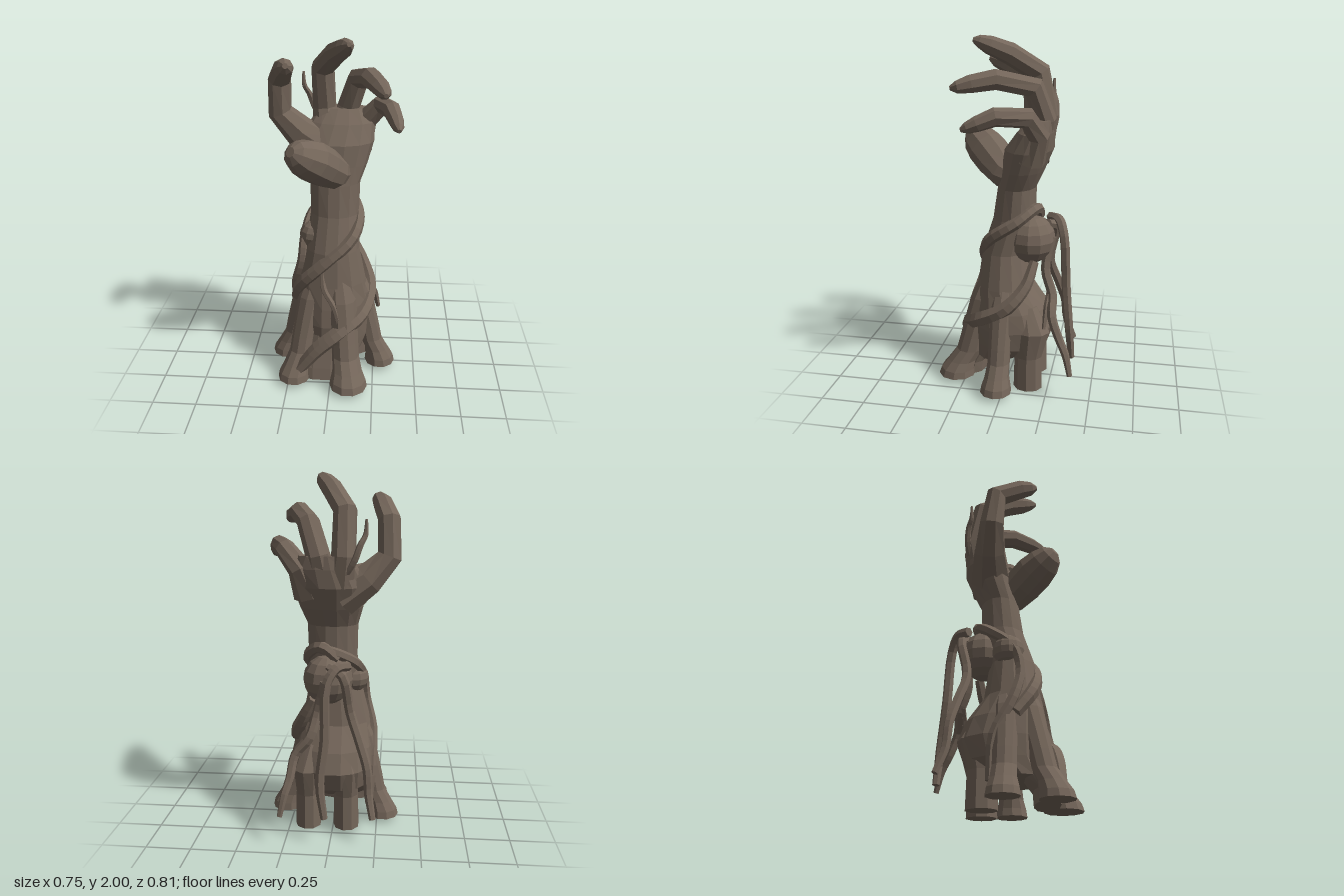
import * as THREE from 'three';

// Skin rings of points into a closed, capped surface.
function skin(rings) {
  const n = rings[0].length, pos = [], index = [];
  rings.forEach((ring) => ring.forEach((p) => pos.push(p.x, p.y, p.z)));
  for (let i = 0; i < rings.length - 1; i++) {
    for (let j = 0; j < n; j++) {
      const a = i * n + j, b = i * n + (j + 1) % n;
      index.push(a, b, a + n, b, b + n, a + n);
    }
  }
  [rings[0], rings[rings.length - 1]].forEach((ring, end) => {
    const c = ring.reduce((s, p) => s.add(p), new THREE.Vector3()).divideScalar(n);
    const ci = pos.length / 3, start = end ? (rings.length - 1) * n : 0;
    pos.push(c.x, c.y, c.z);
    for (let j = 0; j < n; j++) {
      const a = start + j, b = start + (j + 1) % n;
      index.push(ci, end ? a : b, end ? b : a);
    }
  });
  const g = new THREE.BufferGeometry();
  g.setAttribute('position', new THREE.Float32BufferAttribute(pos, 3));
  g.setIndex(index);
  g.computeVertexNormals();
  return g;
}

// Horizontal elliptical sections: [y, centre x, centre z, radius x, radius z].
function loft(sections, sides) {
  return skin(sections.map(([y, cx, cz, rx, rz]) => Array.from({ length: sides }, (_, j) => {
    const a = -j / sides * Math.PI * 2;
    return new THREE.Vector3(cx + rx * Math.cos(a), y, cz + rz * Math.sin(a));
  })));
}

// Tapered limb through points [x, y, z, radius].
function limb(points, sides, steps) {
  const curve = new THREE.CatmullRomCurve3(
    points.map((p) => new THREE.Vector3(p[0], p[1], p[2])), false, 'centripetal');
  const total = (points.length - 1) * steps, rings = [];
  let normal = null;
  for (let i = 0; i <= total; i++) {
    const t = i / total, k = Math.min(Math.floor(i / steps), points.length - 2);
    const r = THREE.MathUtils.lerp(points[k][3], points[k + 1][3], i / steps - k);
    const c = curve.getPoint(t), tan = curve.getTangent(t);
    if (!normal) normal = new THREE.Vector3(0.31, 0.17, 0.93);
    normal.addScaledVector(tan, -normal.dot(tan)).normalize();
    const side = new THREE.Vector3().crossVectors(tan, normal);
    rings.push(Array.from({ length: sides }, (_, j) => {
      const a = j / sides * Math.PI * 2;
      return c.clone().addScaledVector(normal, r * Math.cos(a)).addScaledVector(side, r * Math.sin(a));
    }));
  }
  return skin(rings);
}

export function createModel() {
  const root = new THREE.Group();
  root.name = 'gnarledHand';
  const bark = new THREE.MeshStandardMaterial({ color: 0x74665a, flatShading: true });
  bark.name = 'bark brown';
  const add = (name, geometry) => {
    const m = new THREE.Mesh(geometry, bark);
    m.name = name;
    root.add(m);
    return m;
  };

  // Trunk-like forearm flowing into the palm
  add('forearmAndPalm', loft([
    [0.16, -0.01, 0.06, 0.19, 0.15], [0.25, 0, -0.01, 0.225, 0.225], [0.36, 0, -0.025, 0.235, 0.25],
    [0.47, 0, -0.01, 0.225, 0.22], [0.6, -0.005, 0.025, 0.2, 0.16], [0.8, 0, 0.025, 0.155, 0.13],
    [1.0, 0.01, -0.03, 0.138, 0.12], [1.18, 0.01, -0.045, 0.142, 0.108], [1.28, 0.015, -0.08, 0.175, 0.12],
    [1.4, 0.02, -0.115, 0.205, 0.135], [1.5, 0.045, -0.155, 0.182, 0.1], [1.57, 0.05, -0.19, 0.135, 0.06],
  ], 14));

  // Web of root between the two front feet
  add('frontRootWeb', loft([[0.03, -0.05, 0.2, 0.17, 0.07], [0.1, -0.05, 0.19, 0.17, 0.065],
    [0.2, -0.04, 0.14, 0.16, 0.09], [0.34, -0.02, 0.1, 0.13, 0.1]], 10));

  // Angular fingers, curling forward
  const fingers = {
    indexFinger: [[-0.04, 1.34, -0.1, 0.12], [-0.19, 1.44, -0.11, 0.092], [-0.3, 1.56, -0.1, 0.07],
      [-0.295, 1.75, -0.075, 0.064], [-0.255, 1.83, 0.06, 0.056], [-0.235, 1.855, 0.125, 0.042], [-0.23, 1.865, 0.16, 0.015]],
    middleFinger: [[-0.04, 1.42, -0.16, 0.085], [-0.06, 1.57, -0.195, 0.068], [-0.065, 1.8, -0.15, 0.065],
      [0.015, 1.905, 0, 0.059], [0.065, 1.95, 0.1, 0.049], [0.085, 1.97, 0.15, 0.033], [0.093, 1.978, 0.18, 0.012]],
    ringFinger: [[0.05, 1.42, -0.16, 0.085], [0.075, 1.57, -0.2, 0.066], [0.13, 1.74, -0.15, 0.061],
      [0.2, 1.785, 0.04, 0.057], [0.25, 1.765, 0.16, 0.049], [0.275, 1.75, 0.225, 0.035], [0.282, 1.745, 0.26, 0.012]],
    littleFinger: [[0.13, 1.36, -0.13, 0.09], [0.175, 1.5, -0.18, 0.066], [0.26, 1.6, -0.14, 0.055],
      [0.315, 1.61, 0.02, 0.05], [0.34, 1.575, 0.11, 0.041], [0.35, 1.555, 0.16, 0.03], [0.355, 1.545, 0.19, 0.012]],
  };
  for (const [name, pts] of Object.entries(fingers)) add(name, limb(pts, 8, 1));

  // Thick stubby thumb rooted in the heel of the palm
  add('thumb', limb([[0.05, 1.23, -0.05, 0.07], [0.01, 1.255, 0.025, 0.095], [-0.045, 1.305, 0.085, 0.112],
    [-0.1, 1.36, 0.15, 0.114], [-0.15, 1.4, 0.205, 0.098], [-0.185, 1.43, 0.242, 0.07],
    [-0.202, 1.445, 0.262, 0.028]], 10, 1));

  // Round burls on the arm
  [[0.03, 0.88, -0.13, 0.14], [-0.105, 0.86, 0.0, 0.088]].forEach(([x, y, z, r]) => {
    add('burl', new THREE.SphereGeometry(r, 12, 8)).position.set(x, y, z);
  });

  // Spreading root feet with flared, flat soles: [foot x, foot z, sole radius]
  [[-0.215, 0.235, 0.095], [0.11, 0.3, 0.11], [-0.285, -0.035, 0.09], [0.29, 0.03, 0.09]].forEach(([x, z, r]) => {
    add('rootFoot', loft([
      [0.03, x, z, r, r], [0.07, x * 0.99, z * 0.98, r * 0.93, r * 0.93],
      [0.12, x * 0.93, z * 0.9, r * 0.78, r * 0.78], [0.19, x * 0.81, z * 0.75, r * 0.72, r * 0.72],
      [0.28, x * 0.75, z * 0.67, r * 0.72, r * 0.72], [0.4, x * 0.65, z * 0.56, r * 0.75, r * 0.75],
      [0.52, x * 0.54, z * 0.44, r * 0.8, r * 0.8], [0.68, x * 0.35, z * 0.28, r * 0.6, r * 0.6],
    ], 10));
  });

  // Straight rear stumps
  [-0.075, 0.145].forEach((x) => {
    add('rearStump', loft([[0, x, -0.135, 0.075, 0.085], [0.2, x, -0.135, 0.07, 0.08],
      [0.36, x, -0.15, 0.085, 0.11], [0.5, x * 0.8, -0.12, 0.05, 0.06]], 9));
  });

  // Creepers: wrapped round the arm, hanging behind, and on the hand
  const vines = {
    wristVine: [[0.09, 1.06, -0.14, 0.028], [-0.03, 1.03, -0.16, 0.03], [-0.12, 0.97, -0.1, 0.03],
      [-0.16, 0.87, 0.02, 0.026], [-0.175, 0.72, 0.06, 0.028], [-0.215, 0.55, 0.02, 0.03],
      [-0.215, 0.35, -0.08, 0.03], [-0.205, 0.12, -0.1, 0.022]],
    upperSpiralVine: [[-0.03, 1.0, -0.17, 0.027], [0.06, 1.07, -0.165, 0.032], [0.145, 1.0, -0.06, 0.034],
      [0.12, 0.89, 0.09, 0.036], [-0.04, 0.74, 0.15, 0.038], [-0.17, 0.6, 0.12, 0.04], [-0.215, 0.47, 0.03, 0.034]],
    lowerSpiralVine: [[0.11, 0.77, -0.16, 0.026], [0.175, 0.64, -0.12, 0.035], [0.22, 0.52, -0.02, 0.043],
      [0.175, 0.42, 0.14, 0.046], [0.05, 0.34, 0.235, 0.046], [-0.07, 0.24, 0.255, 0.045], [-0.18, 0.1, 0.26, 0.035]],
    frontVine: [[-0.05, 0.74, 0.14, 0.015], [-0.04, 0.6, 0.18, 0.018], [0.02, 0.5, 0.21, 0.018], [0.05, 0.4, 0.23, 0.015]],
    leftHangingVine: [[0.02, 0.97, -0.22, 0.028], [-0.06, 0.93, -0.26, 0.027], [-0.1, 0.72, -0.225, 0.027],
      [-0.16, 0.55, -0.27, 0.027], [-0.2, 0.42, -0.305, 0.026], [-0.21, 0.28, -0.32, 0.024], [-0.235, 0.15, -0.365, 0.018]],
    middleHangingVine: [[-0.09, 0.98, -0.22, 0.027], [-0.03, 0.98, -0.28, 0.028], [0.02, 0.9, -0.315, 0.027],
      [0.03, 0.6, -0.335, 0.027], [0.055, 0.35, -0.36, 0.026], [0.03, 0.15, -0.375, 0.02]],
    rightHangingVine: [[0.04, 0.9, -0.25, 0.026], [0.08, 0.72, -0.22, 0.027], [0.12, 0.58, -0.265, 0.028],
      [0.2, 0.48, -0.275, 0.026], [0.225, 0.36, -0.32, 0.024], [0.25, 0.28, -0.36, 0.022], [0.275, 0.16, -0.39, 0.015]],
    shortVineFork: [[0.1, 0.6, -0.25, 0.018], [0.16, 0.52, -0.24, 0.018], [0.2, 0.4, -0.23, 0.01]],
    handTendril: [[-0.06, 1.46, -0.22, 0.02], [-0.12, 1.55, -0.24, 0.018], [-0.15, 1.63, -0.235, 0.017],
      [-0.175, 1.68, -0.22, 0.014], [-0.18, 1.76, -0.22, 0.007]],
  };
  for (const [name, pts] of Object.entries(vines)) add(name, limb(pts, 6, 4));

  return root;
}
